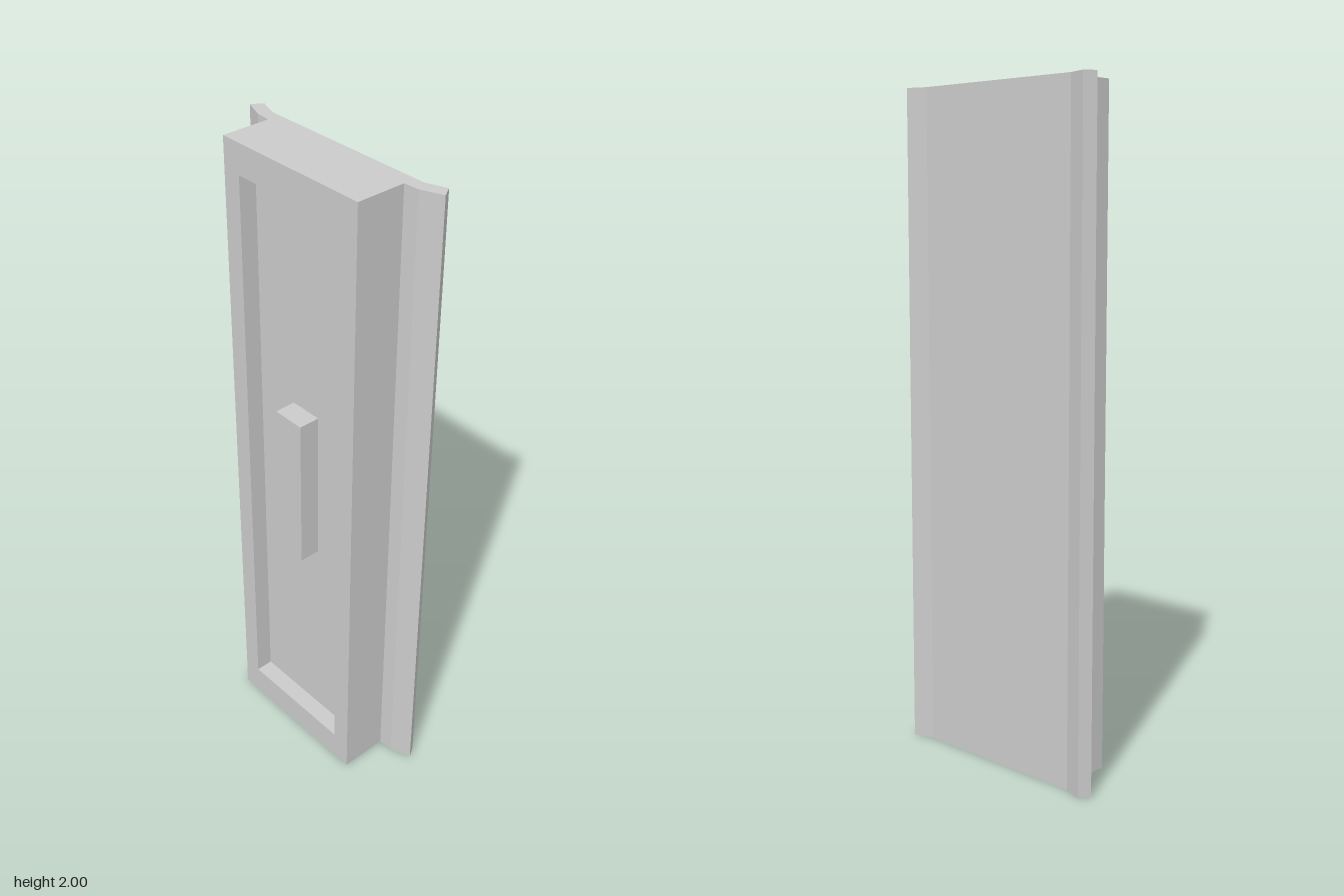
import * as THREE from 'three';

export function createModel() {
  const group = new THREE.Group();
  const material = new THREE.MeshStandardMaterial({ color: 0xcccccc, flatShading: true });
  const height = 2, halfWidth = 0.254, frontZ = 0.1, floorZ = 0.045;

  const add = (name, geometry) => {
    const mesh = new THREE.Mesh(geometry, material);
    mesh.name = name;
    group.add(mesh);
    return mesh;
  };

  // Panel body with angled side flanges: half plan outline [x, z], mirrored, extruded upwards
  const half = [
    [halfWidth, floorZ], [halfWidth, -0.051], [0.3, -0.054],
    [0.365, -0.079], [0.344, -0.112], [0.283, -0.09],
  ];
  const outline = [...half, ...half.map(([x, z]) => [-x, z]).reverse()];
  const plan = new THREE.Shape(outline.map(([x, z]) => new THREE.Vector2(x, -z)));
  const body = new THREE.ExtrudeGeometry(plan, { depth: height, bevelEnabled: false });
  body.rotateX(-Math.PI / 2);
  add('panelBody', body);

  // Raised border around the recessed front
  const rectangle = (target, x, y0, y1) => {
    target.moveTo(-x, y0).lineTo(x, y0).lineTo(x, y1).lineTo(-x, y1).closePath();
    return target;
  };
  const border = rectangle(new THREE.Shape(), halfWidth, 0, height);
  border.holes.push(rectangle(new THREE.Path(), 0.194, 0.095, 1.91));
  const frame = new THREE.ExtrudeGeometry(border, { depth: frontZ - floorZ, bevelEnabled: false });
  frame.translate(0, 0, floorZ);
  add('frontFrame', frame);

  // Upright handle block standing on the recess floor
  const handleDepth = 0.111 - floorZ;
  const handle = add('handle', new THREE.BoxGeometry(0.104, 0.49, handleDepth));
  handle.position.set(0, 1.003, floorZ + handleDepth / 2);

  return group;
}
